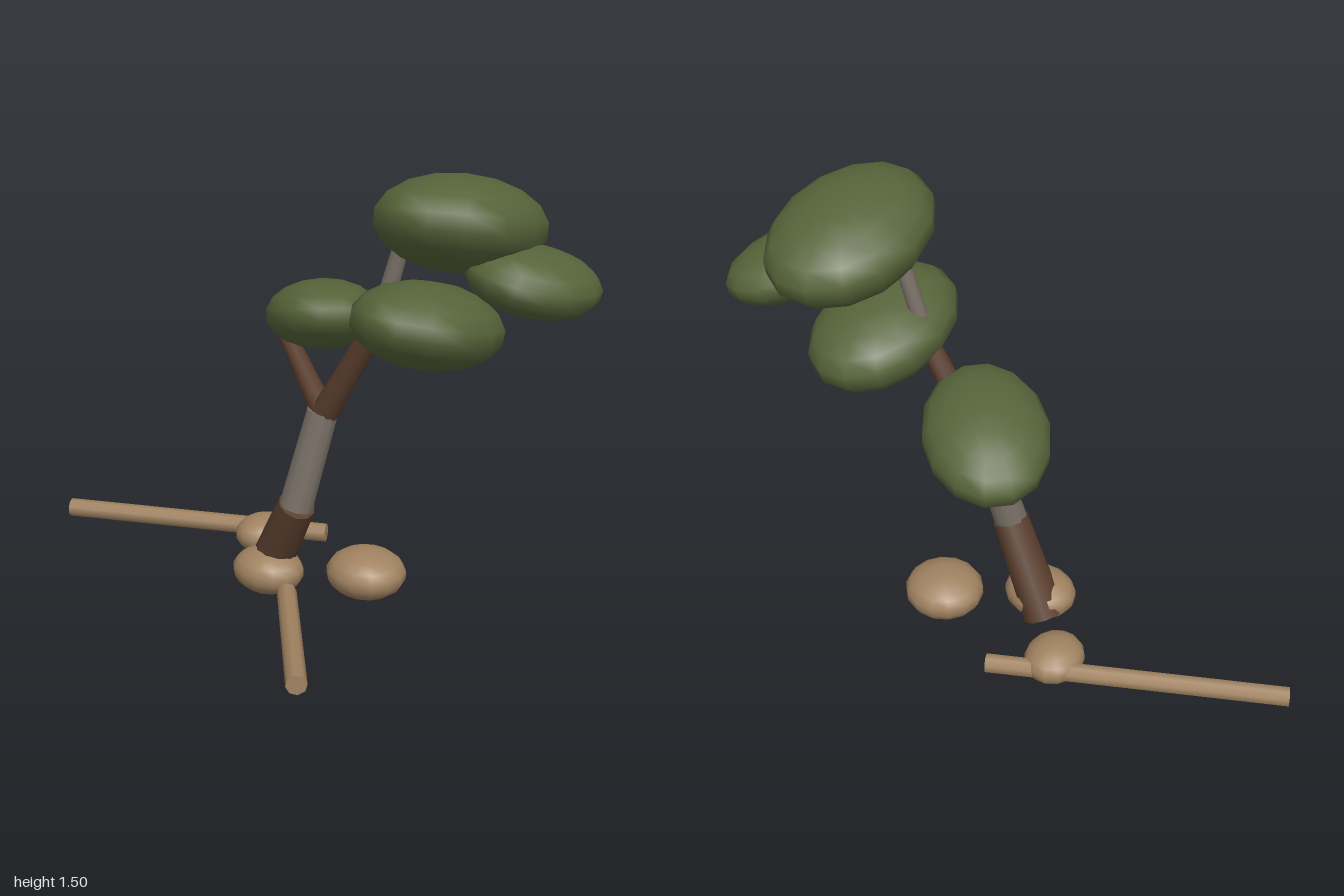
import * as THREE from 'three';

const mat = (name, color) => {
  const m = new THREE.MeshStandardMaterial({ color });
  m.name = name;
  return m;
};

export function createModel() {
  const leaf = mat('leafGreen', 0x566339);
  const bark = mat('darkBark', 0x593d2d);
  const grey = mat('greyBark', 0x7a7167);
  const tan = mat('driftTan', 0xa08260);
  const group = new THREE.Group();
  group.name = 'bentTree';
  const V = (p) => new THREE.Vector3(...p);
  const up = new THREE.Vector3(0, 1, 0);

  // Tapered cylinder running from a to b
  function limb(name, material, a, b, r0, r1, sides = 10) {
    const d = V(b).sub(V(a));
    const mesh = new THREE.Mesh(new THREE.CylinderGeometry(r1, r0, d.length(), sides), material);
    mesh.position.copy(V(a)).addScaledVector(d, 0.5);
    mesh.quaternion.setFromUnitVectors(up, d.normalize());
    mesh.name = name;
    group.add(mesh);
  }

  // Squashed sphere; yaw, pitch and roll in degrees
  function blob(name, material, centre, radii, yaw = 0, pitch = 0, roll = 0) {
    const mesh = new THREE.Mesh(new THREE.SphereGeometry(1, 14, 9), material);
    mesh.position.set(...centre);
    mesh.scale.set(...radii);
    const rad = THREE.MathUtils.degToRad;
    mesh.rotation.set(rad(pitch), rad(yaw), rad(roll), 'YXZ');
    mesh.name = name;
    group.add(mesh);
  }

  // Trunk and branches
  const fork = [0.122, 0.675, -0.09];
  limb('lowerTrunk', bark, [-0.1, 0.04, -0.085], [0.065, 0.355, -0.03], 0.075, 0.063);
  limb('middleTrunk', grey, [0.06, 0.345, -0.03], fork, 0.057, 0.052);
  limb('rightBranch', bark, [0.125, 0.665, -0.09], [0.335, 1.03, -0.09], 0.045, 0.034);
  limb('upperBranch', grey, [0.33, 1.02, -0.09], [0.41, 1.34, -0.11], 0.03, 0.024);
  limb('leftBranch', bark, [0.125, 0.675, -0.09], [-0.15, 0.855, -0.27], 0.04, 0.03);

  // Foliage pads
  blob('topFoliage', leaf, [0.58, 1.345, -0.115], [0.242, 0.146, 0.32], 0, -12, 2);
  blob('middleFoliage', leaf, [0.495, 1.028, -0.092], [0.222, 0.133, 0.292], 0, -12, -3);
  blob('outerFoliage', leaf, [0.802, 1.197, -0.155], [0.178, 0.1, 0.223], -22, -9, -10);
  blob('leftFoliage', leaf, [-0.028, 0.93, -0.315], [0.195, 0.12, 0.268], 40, -14, 0);

  // Rocks at the foot
  blob('backRock', tan, [-0.253, 0.08, -0.282], [0.098, 0.066, 0.11]);
  blob('footRock', tan, [-0.055, 0.086, -0.035], [0.128, 0.078, 0.11]);
  blob('sideRock', tan, [0.235, 0.092, -0.198], [0.138, 0.083, 0.133]);

  // Fallen logs
  limb('longLog', tan, [-0.985, 0.075, -0.05], [-0.07, 0.075, -0.415], 0.033, 0.033, 8);
  limb('shortLog', tan, [0.083, 0.075, 0.053], [0.445, 0.075, 0.52], 0.033, 0.033, 8);

  return group;
}
